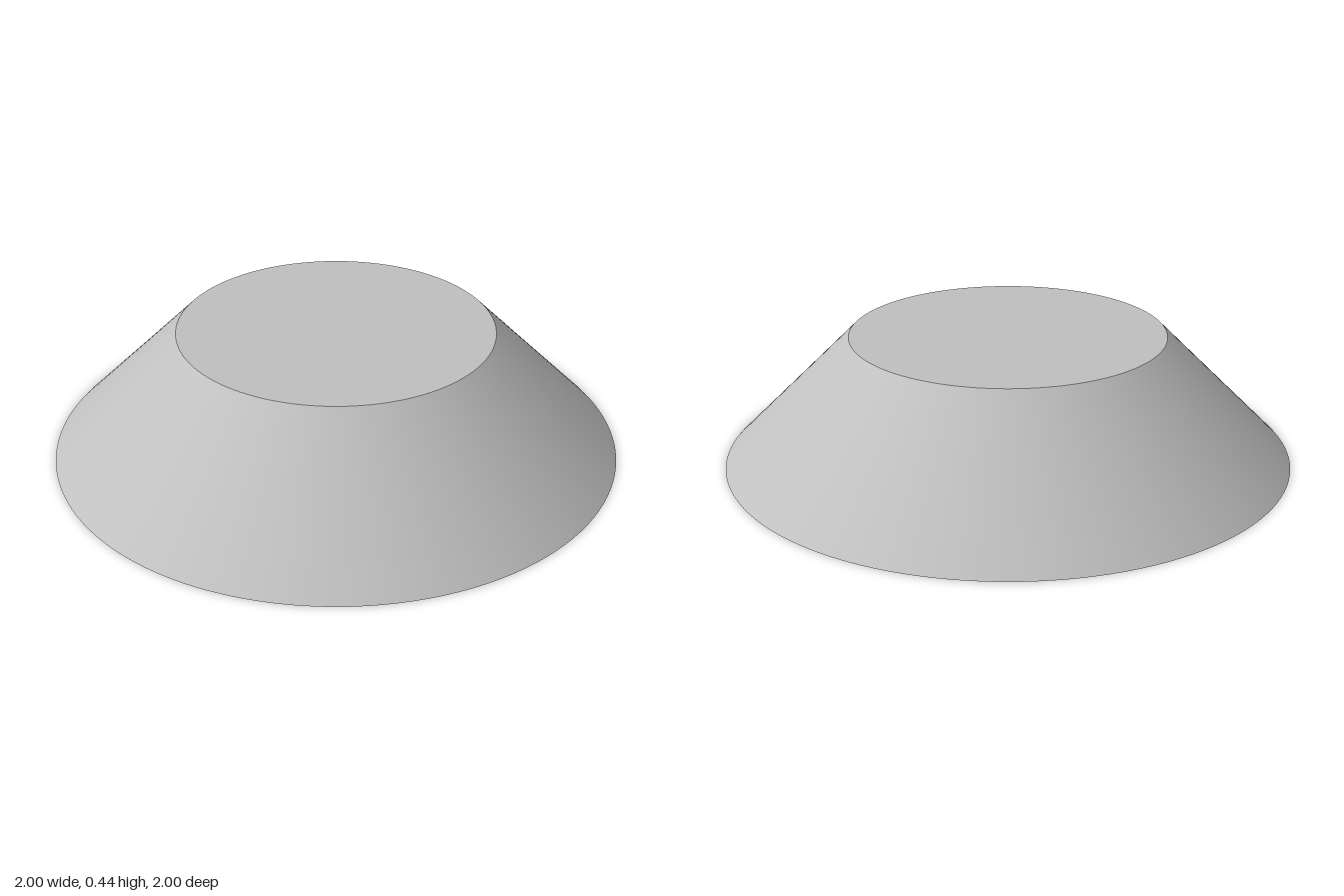
import * as THREE from 'three';
import { toCreasedNormals } from 'three/addons/utils/BufferGeometryUtils.js';

const points = (list) => list.map(([x, y]) => new THREE.Vector2(x, y));
const lathe = (list, segments) =>
  toCreasedNormals(new THREE.LatheGeometry(points(list), segments), 0.5);

export function createModel() {
  const model = new THREE.Group();
  const grey = new THREE.MeshStandardMaterial({ color: 0xc0c0c0 });
  grey.name = 'plain grey';

  const add = (parent, name, geometry) => {
    const mesh = new THREE.Mesh(geometry, grey);
    mesh.name = name;
    parent.add(mesh);
    return mesh;
  };

  // Hollow cone shell: ceiling, inner wall, rim, outer wall, top
  add(model, 'shell', lathe([
    [0, 0.4], [0.56, 0.4], [0.96, 0], [1, 0], [0.555, 0.445], [0, 0.445],
  ], 128));

  // Three posts under the shell, each with a hex-socket tip
  const postDistance = 0.56;
  const postBottom = 0.14;
  const tipBottom = 0.1;
  const tipDepth = 0.15;
  const socketRadius = 0.07;

  for (let i = 0; i < 3; i++) {
    const angle = Math.PI / 6 + (i * Math.PI * 2) / 3;
    const post = new THREE.Group();
    post.name = 'post' + (i + 1);
    post.position.set(postDistance * Math.cos(angle), 0, postDistance * Math.sin(angle));
    model.add(post);

    // Post body, its upper edge cut to end inside the sloped shell
    const body = lathe([[0.09, postBottom], [0.13, postBottom], [0.13, 0.42]], 48);
    const p = body.attributes.position;
    for (let v = 0; v < p.count; v++) {
      if (p.getY(v) < 0.3) continue;
      const r = Math.hypot(p.getX(v) + post.position.x, p.getZ(v) + post.position.z);
      p.setY(v, Math.min(0.42, 0.98 - r));
    }
    add(post, 'postBody', body);

    // Screw tip with a hexagonal hole
    const disc = new THREE.Shape().absarc(0, 0, 0.105, 0, Math.PI * 2);
    const hexagon = [];
    for (let k = 0; k < 6; k++) {
      const a = (k * Math.PI) / 3;
      hexagon.push([socketRadius * Math.cos(a), socketRadius * Math.sin(a)]);
    }
    disc.holes.push(new THREE.Path(points(hexagon)));
    const tip = new THREE.ExtrudeGeometry(disc, {
      depth: tipDepth, bevelEnabled: false, curveSegments: 40,
    });
    tip.rotateX(-Math.PI / 2);
    add(post, 'screwTip', toCreasedNormals(tip, 0.5)).position.y = tipBottom;

    // Floor of the socket, facing down
    const floor = new THREE.CircleGeometry(socketRadius + 0.01, 6);
    floor.rotateX(Math.PI / 2);
    add(post, 'socketFloor', floor).position.y = tipBottom + tipDepth - 0.02;
  }

  return model;
}
